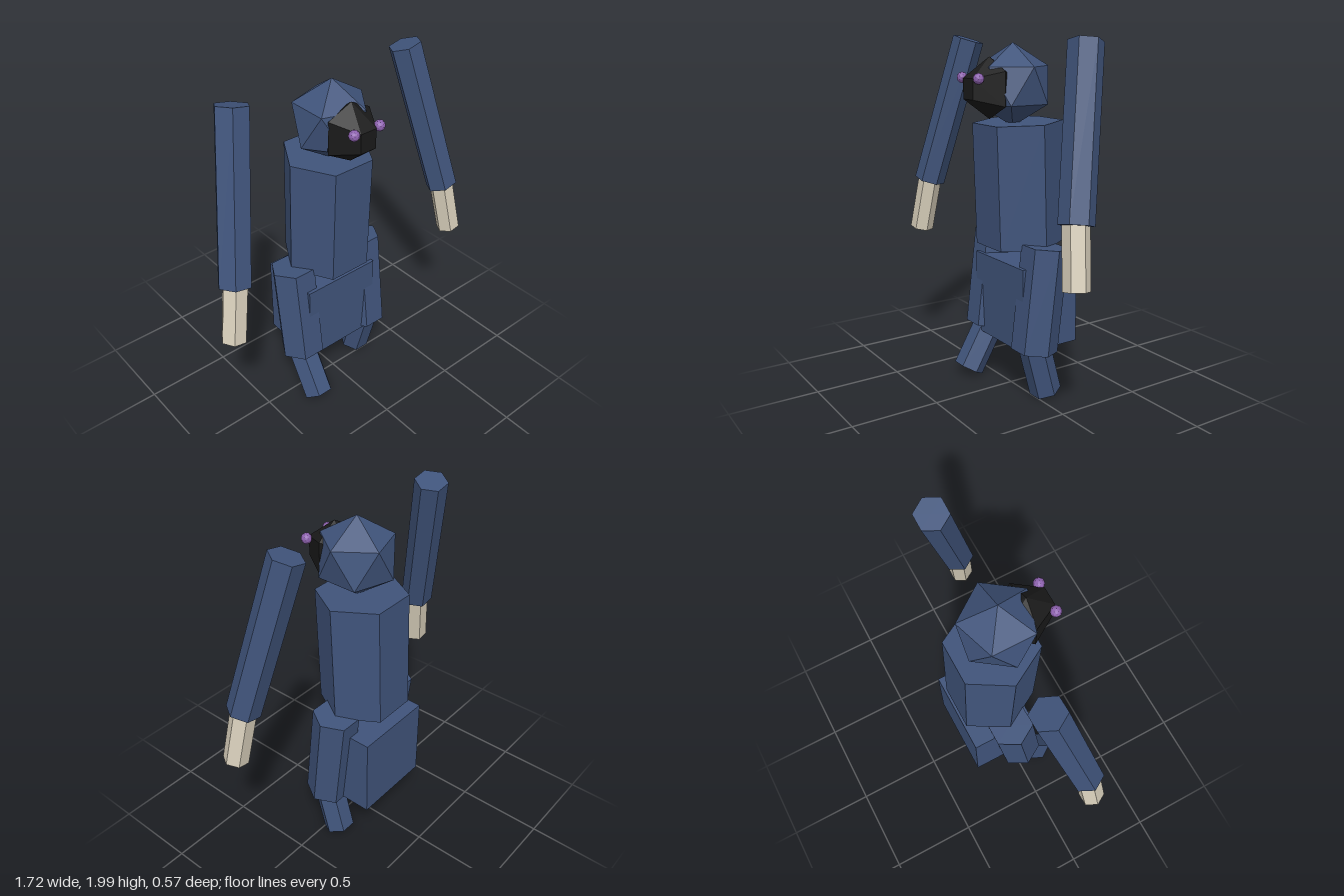
import * as THREE from 'three';
import { ConvexGeometry } from 'three/addons/geometries/ConvexGeometry.js';

const flat = (name, color) => {
  const m = new THREE.MeshStandardMaterial({ color, flatShading: true });
  m.name = name;
  return m;
};

export function createModel() {
  const blue = flat('slate blue', 0x40547b);
  const beige = flat('pale beige', 0xd9d0bc);
  const black = flat('soft black', 0x1a1a1a);
  const purple = flat('eye purple', 0x8e62b0);

  const root = new THREE.Group();
  root.name = 'figure';

  const add = (name, geometry, material, x = 0, y = 0, z = 0) => {
    const mesh = new THREE.Mesh(geometry, material);
    mesh.name = name;
    mesh.position.set(x, y, z);
    root.add(mesh);
    return mesh;
  };

  // Six-sided bar from one end centre to the other, corners on the x axis
  const up = new THREE.Vector3(0, 1, 0);
  const hexBar = (name, material, radius, bottom, top) => {
    const a = new THREE.Vector3(...bottom);
    const b = new THREE.Vector3(...top);
    const axis = b.clone().sub(a);
    const geo = new THREE.CylinderGeometry(radius, radius, axis.length(), 6, 1, false, Math.PI / 6);
    const bar = add(name, geo, material);
    bar.position.copy(a).add(b).multiplyScalar(0.5);
    bar.quaternion.setFromUnitVectors(up, axis.normalize());
  };

  // Torso, leaning slightly forward, and the boxy hips
  hexBar('torso', blue, 0.25, [0, 0.853, -0.065], [0, 1.535, -0.043]);
  add('hips', new THREE.BoxGeometry(0.48, 0.48, 0.37), blue, 0, 0.52, -0.1);

  // Head: icosahedron standing on one corner
  const headGeo = new THREE.IcosahedronGeometry(0.225, 0);
  headGeo.rotateZ(-Math.atan(2 / (1 + Math.sqrt(5))));
  add('head', headGeo, blue, 0, 1.735, -0.01);

  // Faceted face mask set into the front of the head
  const maskPoints = [];
  for (const sy of [-1, 1]) {
    maskPoints.push(new THREE.Vector3(0, 0.165 * sy, 0.14));
    for (const sx of [-1, 1]) {
      maskPoints.push(
        new THREE.Vector3(0.135 * sx, 0.092 * sy, 0.125),
        new THREE.Vector3(0.05 * sx, 0.055 * sy, 0.272),
        new THREE.Vector3(0.05 * sx, 0.055 * sy, 0)
      );
    }
  }
  add('face', new ConvexGeometry(maskPoints), black, 0, 1.722, 0);

  // Eyes and arms are mirrored
  for (const [side, s] of [['left', 1], ['right', -1]]) {
    add(side + 'Eye', new THREE.IcosahedronGeometry(0.03, 1), purple, 0.083 * s, 1.778, 0.258);
    hexBar(side + 'Arm', blue, 0.092, [0.738 * s, 1.113, 0.12], [0.555 * s, 1.972, -0.064]);
    hexBar(side + 'Hand', beige, 0.07, [0.793 * s, 0.804, 0.155], [0.729 * s, 1.15, 0.117]);
  }

  // Legs in mid-stride: left shin back, right shin forward
  hexBar('leftThigh', blue, 0.13, [0.24, 0.285, 0.006], [0.24, 0.873, -0.062]);
  hexBar('rightThigh', blue, 0.13, [-0.24, 0.308, 0.006], [-0.24, 0.873, -0.062]);
  hexBar('leftShin', blue, 0.09, [0.24, 0.025, -0.072], [0.24, 0.325, 0.01]);
  hexBar('rightShin', blue, 0.09, [-0.24, 0.042, 0.148], [-0.24, 0.33, -0.02]);

  return root;
}
